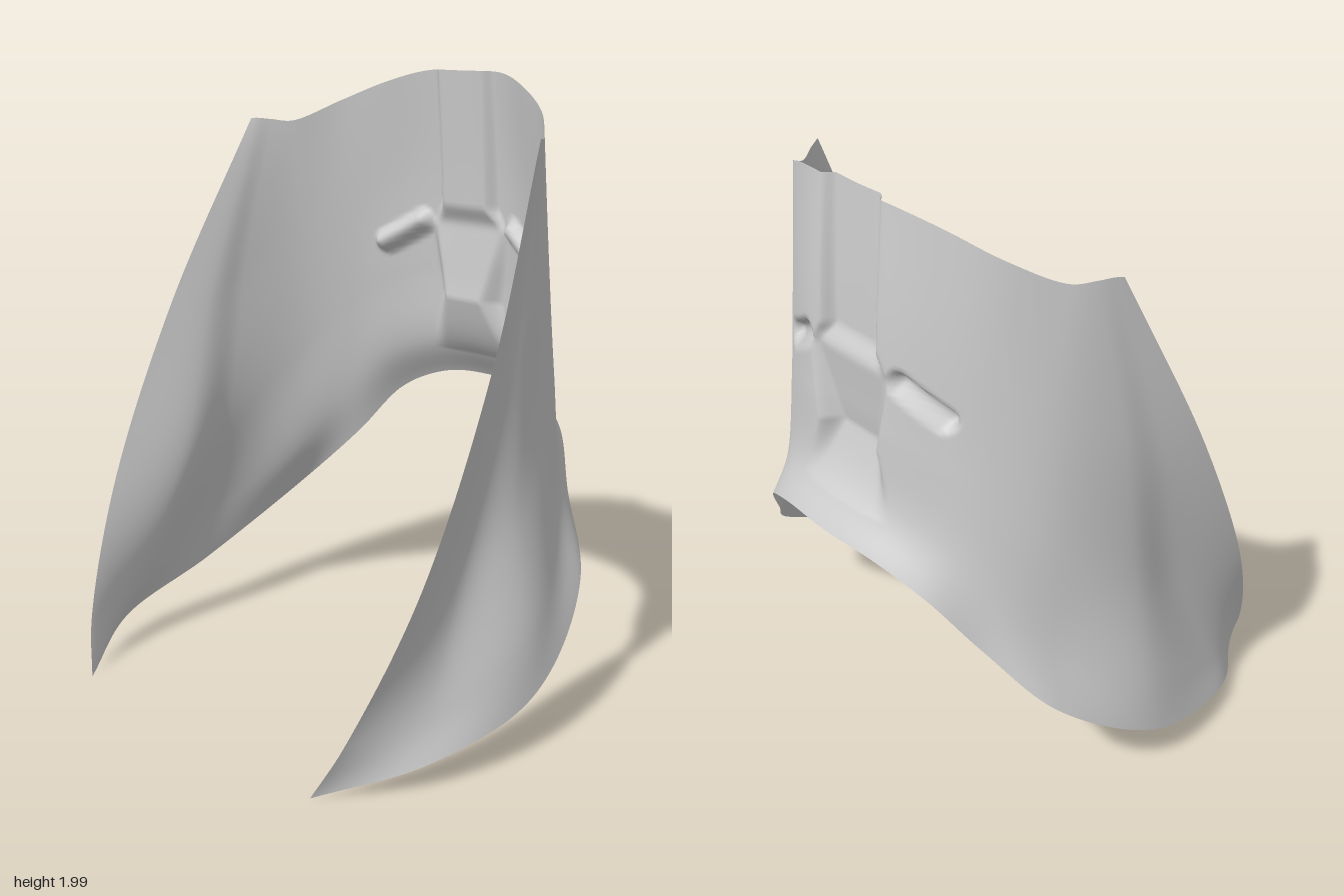
import * as THREE from 'three';

// Guide columns from the centre of the back round to the front edge.
// Each runs from the lower rim, over the flare, up to the top rim: x, y, z.
const GUIDES = [
  [0, 0.915, -0.69, 0, 1.05, -0.605, 0, 1.3, -0.58, 0, 1.65, -0.555, 0, 1.99, -0.525],
  [0.2, 0.9, -0.67, 0.19, 1.03, -0.595, 0.18, 1.3, -0.57, 0.18, 1.65, -0.545, 0.17, 1.985, -0.51],
  [0.37, 0.82, -0.615, 0.36, 0.96, -0.54, 0.34, 1.25, -0.51, 0.33, 1.6, -0.485, 0.31, 1.945, -0.455],
  [0.5, 0.64, -0.51, 0.49, 0.82, -0.46, 0.47, 1.15, -0.43, 0.46, 1.5, -0.4, 0.45, 1.88, -0.375],
  [0.68, 0.42, -0.36, 0.62, 0.6, -0.32, 0.6, 0.95, -0.29, 0.58, 1.4, -0.27, 0.565, 1.81, -0.25],
  [0.8, 0.18, 0, 0.77, 0.36, -0.02, 0.69, 0.75, -0.04, 0.66, 1.3, -0.1, 0.61, 1.815, -0.19],
  [0.75, 0.08, 0.4, 0.72, 0.2, 0.36, 0.68, 0.6, 0.2, 0.69, 1.2, 0.04, 0.635, 1.82, -0.15],
  [0.55, 0, 0.69, 0.63, 0.17, 0.63, 0.735, 0.6, 0.44, 0.742, 1.2, 0.165, 0.65, 1.82, -0.13],
];
const LEVELS = 5, COLS = 280, ROWS = 96;

const { smoothstep, mapLinear, clamp } = THREE.MathUtils;
const fade = (d, inner, outer) => 1 - smoothstep(d, inner, outer);

// Linear interpolation through [y, value] pairs in rising y
function ramp(y, keys) {
  if (y <= keys[0][0]) return keys[0][1];
  for (let i = 1; i < keys.length; i++) {
    const [y0, v0] = keys[i - 1], [y1, v1] = keys[i];
    if (y <= y1) return mapLinear(y, y0, y1, v0, v1);
  }
  return keys[keys.length - 1][1];
}

// How far the back is pressed inwards: spine channel, wedge panel and slots
function pressing(x, y) {
  const ax = Math.abs(x);
  const depth = ramp(y, [[1, 0], [1.21, 0.06], [1.46, 0.015], [1.48, 0.015], [1.53, 0.042], [2, 0.032]]);
  const half = ramp(y, [[1, 0.14], [1.21, 0.07], [1.46, 0.14], [1.53, 0.09]]);
  const soft = ramp(y, [[1.2, 0.07], [1.47, 0.04]]);
  const spine = depth * fade(ax, half, half + soft);

  // Slanted slot: distance to a short segment
  const ex = 0.13, ey = -0.08, px = ax - 0.205, py = y - 1.465;
  const t = clamp((px * ex + py * ey) / (ex * ex + ey * ey), 0, 1);
  const slot = 0.042 * fade(Math.hypot(px - t * ex, py - t * ey), 0.008, 0.048);
  return Math.max(spine, slot);
}

// Smooth curve across the whole shell at one level, mirrored about x = 0
function levelCurve(level) {
  const side = GUIDES.map(g => new THREE.Vector3().fromArray(g, level * 3));
  const mirrored = side.slice(1).reverse().map(p => new THREE.Vector3(-p.x, p.y, p.z));
  return new THREE.CatmullRomCurve3([...mirrored, ...side]);
}

function shellGeometry() {
  const levels = Array.from({ length: LEVELS }, (_, i) => levelCurve(i));
  const positions = [], index = [];
  for (let c = 0; c <= COLS; c++) {
    const column = new THREE.CatmullRomCurve3(levels.map(l => l.getPoint(c / COLS)));
    for (let r = 0; r <= ROWS; r++) {
      const p = column.getPoint(r / ROWS);
      const push = p.z < -0.3 ? pressing(p.x, p.y) : 0;
      positions.push(p.x, p.y, p.z + push);
      if (c < COLS && r < ROWS) {
        const a = c * (ROWS + 1) + r, b = a + ROWS + 1;
        index.push(a, a + 1, b, b, a + 1, b + 1); // fronts face outwards
      }
    }
  }
  const geometry = new THREE.BufferGeometry();
  geometry.setAttribute('position', new THREE.Float32BufferAttribute(positions, 3));
  geometry.setIndex(index);
  geometry.computeVertexNormals();
  return geometry;
}

export function createModel() {
  const group = new THREE.Group();
  group.name = 'curvedBackGuard';
  const material = new THREE.MeshStandardMaterial({ color: 0xcccccc, side: THREE.DoubleSide });
  const shell = new THREE.Mesh(shellGeometry(), material);
  shell.name = 'guardShell';
  group.add(shell);
  return group;
}
